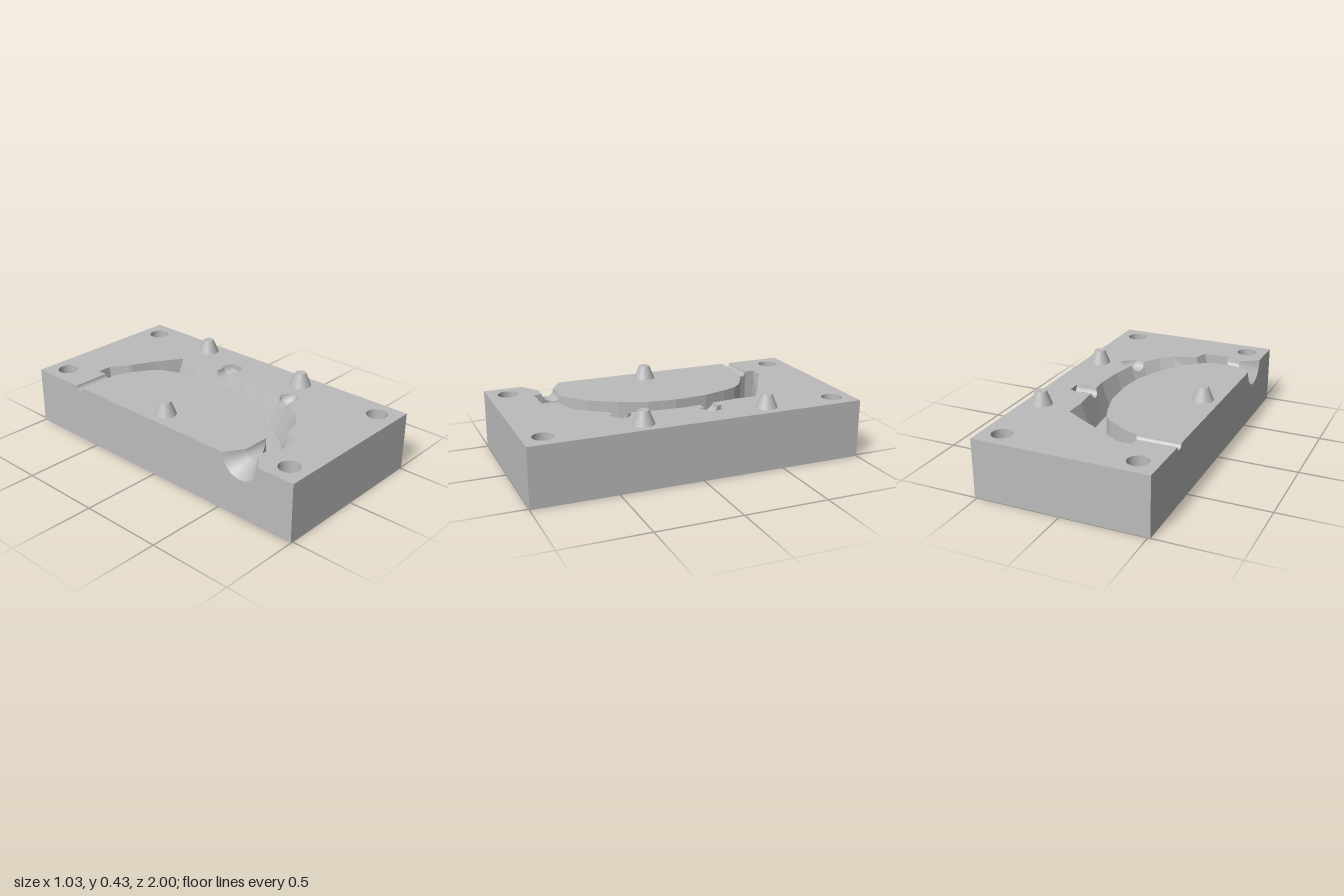
import * as THREE from 'three';
import { toCreasedNormals } from 'three/addons/utils/BufferGeometryUtils.js';

const W = 0.515, L = 1, TOP = 0.35, DEPTH = 0.18, N = 12;

// Station on the cavity edge: rim x,z and floor x,z (vertical wall by default)
const st = (x, z, fx = x, fz = z) => [x, z, fx, fz];
const mix = (a, b, t) => a.map((v, i) => v + (b[i] - v) * t);

// Point on the cavity wall at depth d under the rim
function wallPoint(s, d) {
  const t = d / DEPTH;
  return [s[0] + (s[2] - s[0]) * t, TOP - d, s[1] + (s[3] - s[1]) * t];
}

// Half-round groove leaving the cavity through a mouth; rings are [x, zCentre, radius]
function makeGroove(mouth, rings) {
  const z0 = mouth[0][1], z1 = mouth[mouth.length - 1][1];
  const r = Math.abs(z1 - z0) / 2, dir = Math.sign(z1 - z0);
  const stations = [], loft = [[]];
  for (let j = 0; j <= N; j++) {
    const a = (Math.PI * j) / N;
    const z = z0 + ((z1 - z0) * (1 - Math.cos(a))) / 2;
    let k = 0;
    while (k < mouth.length - 2 && (z - mouth[k + 1][1]) * dir > 0) k++;
    const s = mix(mouth[k], mouth[k + 1], (z - mouth[k][1]) / (mouth[k + 1][1] - mouth[k][1]));
    const d = j === 0 || j === N ? 0 : r * Math.sin(a);
    stations.push({ s, d });
    loft[0].push(wallPoint(s, d));
  }
  for (const [x, zc, rad] of rings) {
    loft.push(stations.map((_, j) => {
      const a = (Math.PI * j) / N;
      return [x, TOP - rad * Math.sin(a), zc - dir * rad * Math.cos(a)];
    }));
  }
  return { stations, loft, last: loft[loft.length - 1] };
}

function fromTriangles(tris, crease) {
  const g = new THREE.BufferGeometry();
  g.setAttribute('position', new THREE.Float32BufferAttribute(tris.flat(2), 3));
  g.computeVertexNormals();
  return crease ? toCreasedNormals(g, crease) : g;
}

function grooveGeometry({ loft, last }, capped) {
  const tris = [];
  for (let i = 0; i < loft.length - 1; i++) {
    for (let j = 0; j < N; j++) {
      const p = loft[i], q = loft[i + 1];
      tris.push([p[j], p[j + 1], q[j + 1]], [p[j], q[j + 1], q[j]]);
    }
  }
  if (capped) {
    const c = mix(last[0], last[N], 0.5);
    for (let j = 0; j < N; j++) tris.push([c, last[j], last[j + 1]]);
  }
  return fromTriangles(tris, 0.6);
}

// Flat horizontal face from x,z points, facing up or down
function flatFace(points, y, holes = [], up = true) {
  const f = up ? -1 : 1;
  const shape = new THREE.Shape(points.map(([x, z]) => new THREE.Vector2(x, f * z)));
  for (const [x, z, r] of holes) {
    shape.holes.push(new THREE.Path().absarc(x, f * z, r, 0, Math.PI * 2, true));
  }
  return new THREE.ShapeGeometry(shape, 20).rotateX((f * Math.PI) / 2).translate(0, y, 0);
}

export function createModel() {
  const group = new THREE.Group();
  const steel = new THREE.MeshStandardMaterial({ color: 0xbcbcbc, side: THREE.DoubleSide });
  steel.name = 'steelGrey';
  const add = (name, geometry) => {
    const mesh = new THREE.Mesh(geometry, steel);
    mesh.name = name;
    group.add(mesh);
    return mesh;
  };

  // Grooves: two side pockets, the pouring funnel and the narrow vent
  const pocketA = makeGroove(
    [st(0.22, -0.182, 0.17, -0.17), st(0.23, -0.098, 0.175, -0.09)],
    [[0.285, -0.14, 0.042], [0.28, -0.138, 0.072], [0.36, -0.135, 0.04]]);
  const pocketB = makeGroove(
    [st(0.195, 0.34, 0.13, 0.3), st(0.155, 0.43, 0.09, 0.39)],
    [[0.21, 0.385, 0.044], [0.205, 0.382, 0.064], [0.255, 0.382, 0.045], [0.285, 0.382, 0.006]]);
  const funnel = makeGroove(
    [st(-0.325, 0.692), st(-0.333, 0.648), st(-0.243, 0.6)],
    [[-0.405, 0.646, 0.046], [-W, 0.65, 0.12]]);
  const vent = makeGroove(
    [st(-0.26, -0.6), st(-0.285, -0.655)],
    [[-W, -0.6275, 0.0275]]);

  // Cavity edge: outer side, then inner side
  const outer = [
    st(-0.285, -0.655), st(-0.285, -0.715), st(-0.2, -0.715, -0.195, -0.7),
    st(-0.085, -0.64, -0.11, -0.62), st(0.055, -0.565), st(0.21, -0.47, 0.165, -0.495),
    st(0.205, -0.34, 0.15, -0.325), pocketA, st(0.24, 0, 0.18, 0),
    st(0.225, 0.18, 0.16, 0.16), pocketB, st(0.085, 0.535, 0.05, 0.45),
    st(0.015, 0.605, -0.02, 0.53), st(-0.125, 0.65, -0.17, 0.65),
    st(-0.15, 0.74, -0.2, 0.74), st(-0.32, 0.74),
  ];
  const inner = [
    [-0.1, 0.48], [0, 0.32], [0.065, 0.16], [0.085, -0.01], [0.07, -0.21],
    [0.03, -0.35], [-0.005, -0.44], [-0.05, -0.49], [-0.155, -0.555],
  ].map(([x, z]) => st(x, z));

  // Cavity walls and floor
  const loop = [...outer, funnel, ...inner, vent].flatMap(
    (e) => (e.stations ? e.stations : [{ s: e, d: 0 }]));
  const walls = [];
  loop.forEach((p, i) => {
    const q = loop[(i + 1) % loop.length];
    const a = wallPoint(p.s, p.d), b = wallPoint(q.s, q.d);
    const a2 = wallPoint(p.s, DEPTH), b2 = wallPoint(q.s, DEPTH);
    walls.push([a, a2, b2], [a, b2, b]);
  });
  add('cavityWalls', fromTriangles(walls));
  add('cavityFloor', flatFace(loop.map(({ s }) => [s[2], s[3]]), TOP - DEPTH));

  add('sidePocketBack', grooveGeometry(pocketA, true));
  add('sidePocketFront', grooveGeometry(pocketB, true));
  add('pouringFunnel', grooveGeometry(funnel, false));
  add('ventChannel', grooveGeometry(vent, false));

  // Top face around the cavity, and the island inside it
  const xz = (p) => [p[0], p[2]];
  const side = (g, j) => g.loft.map((ring) => xz(ring[j]));
  const rim = outer.flatMap((e) => (e.stations ? [...side(e, 0), ...side(e, N).reverse()] : [[e[0], e[1]]]));
  const holes = [-1, 1].flatMap((sx) => [-1, 1].map((sz) => [sx * 0.395, sz * 0.88, 0.061]));
  const corners = [[-W, L], [W, L], [W, -L], [-W, -L]];
  add('topFace', flatFace(
    [...corners, xz(vent.last[N]), ...rim, ...side(funnel, 0)], TOP, holes));
  add('topIsland', flatFace(
    [...side(funnel, N).reverse(), ...inner.map((s) => [s[0], s[1]]), ...side(vent, 0)], TOP));

  // Underside and outer sides
  add('underside', flatFace(corners, 0, holes, false));
  add('rightSide', new THREE.ShapeGeometry(new THREE.Shape(
    [[-L, 0], [L, 0], [L, TOP], ...[...funnel.last, ...vent.last].map((p) => [p[2], p[1]]), [-L, TOP]]
      .map(([u, v]) => new THREE.Vector2(u, v)))).rotateY(-Math.PI / 2).translate(-W, 0, 0));
  add('leftSide', new THREE.PlaneGeometry(2 * L, TOP).rotateY(Math.PI / 2).translate(W, TOP / 2, 0));
  add('frontSide', new THREE.PlaneGeometry(2 * W, TOP).translate(0, TOP / 2, L));
  add('backSide', new THREE.PlaneGeometry(2 * W, TOP).rotateY(Math.PI).translate(0, TOP / 2, -L));

  // Corner bolt holes
  for (const [x, z, r] of holes) {
    add('boltHole', new THREE.CylinderGeometry(r, r, TOP, 40, 1, true)).position.set(x, TOP / 2, z);
  }

  // Tapered locating pins
  for (const [x, z] of [[-0.41, 0], [0.41, -0.433], [0.41, 0.322]]) {
    add('locatingPin', new THREE.CylinderGeometry(0.032, 0.064, 0.08, 32)).position.set(x, TOP + 0.04, z);
  }
  return group;
}
